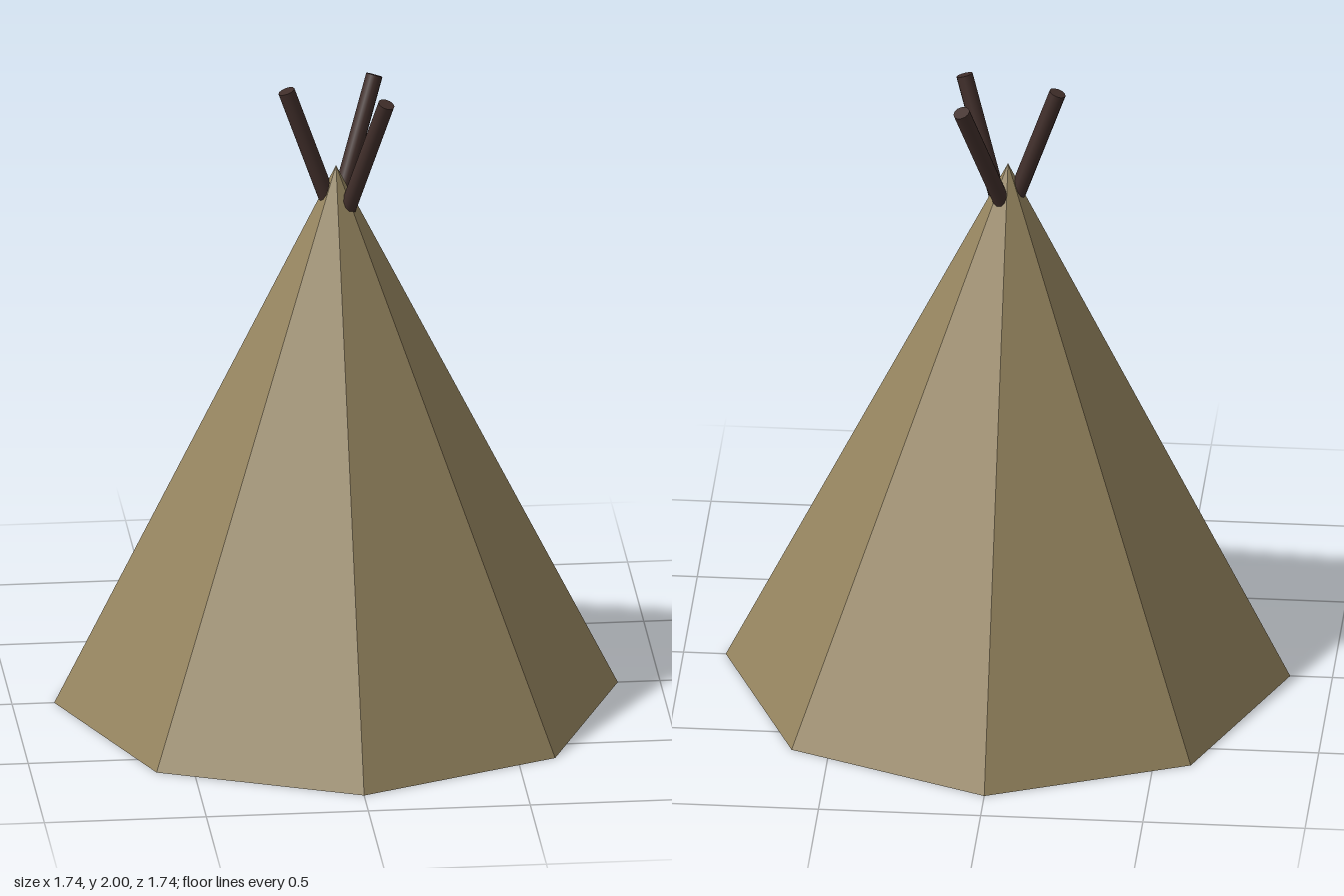
import * as THREE from 'three';

const hideMaterial = new THREE.MeshStandardMaterial({ color: 0x95845f, flatShading: true });
const woodMaterial = new THREE.MeshStandardMaterial({ color: 0x402e2a });

// Round pole between two points
function makePole(name, from, to, radius) {
  const a = new THREE.Vector3(...from);
  const b = new THREE.Vector3(...to);
  const dir = b.clone().sub(a);
  const pole = new THREE.Mesh(new THREE.CylinderGeometry(radius, radius, dir.length(), 12), woodMaterial);
  pole.name = name;
  pole.position.copy(a).add(b).multiplyScalar(0.5);
  pole.quaternion.setFromUnitVectors(new THREE.Vector3(0, 1, 0), dir.normalize());
  return pole;
}

export function createModel() {
  const tent = new THREE.Group();
  tent.name = 'tent';

  // Eight-sided cover with a closed floor
  const height = 1.74;
  const cover = new THREE.Mesh(new THREE.ConeGeometry(0.87, height, 8), hideMaterial);
  cover.name = 'cover';
  cover.position.y = height / 2;
  tent.add(cover);

  // Three poles crossing inside the peak and fanning out above it
  const poles = new THREE.Group();
  poles.name = 'poles';
  poles.add(
    makePole('rightPole', [0.02, 1.5, 0], [-0.153, 1.99, 0], 0.026),
    makePole('frontLeftPole', [0.003, 1.5, 0], [0.144, 1.98, 0.116], 0.026),
    makePole('backLeftPole', [-0.022, 1.5, 0.008], [0.132, 1.98, -0.136], 0.026),
  );
  tent.add(poles);
  return tent;
}
